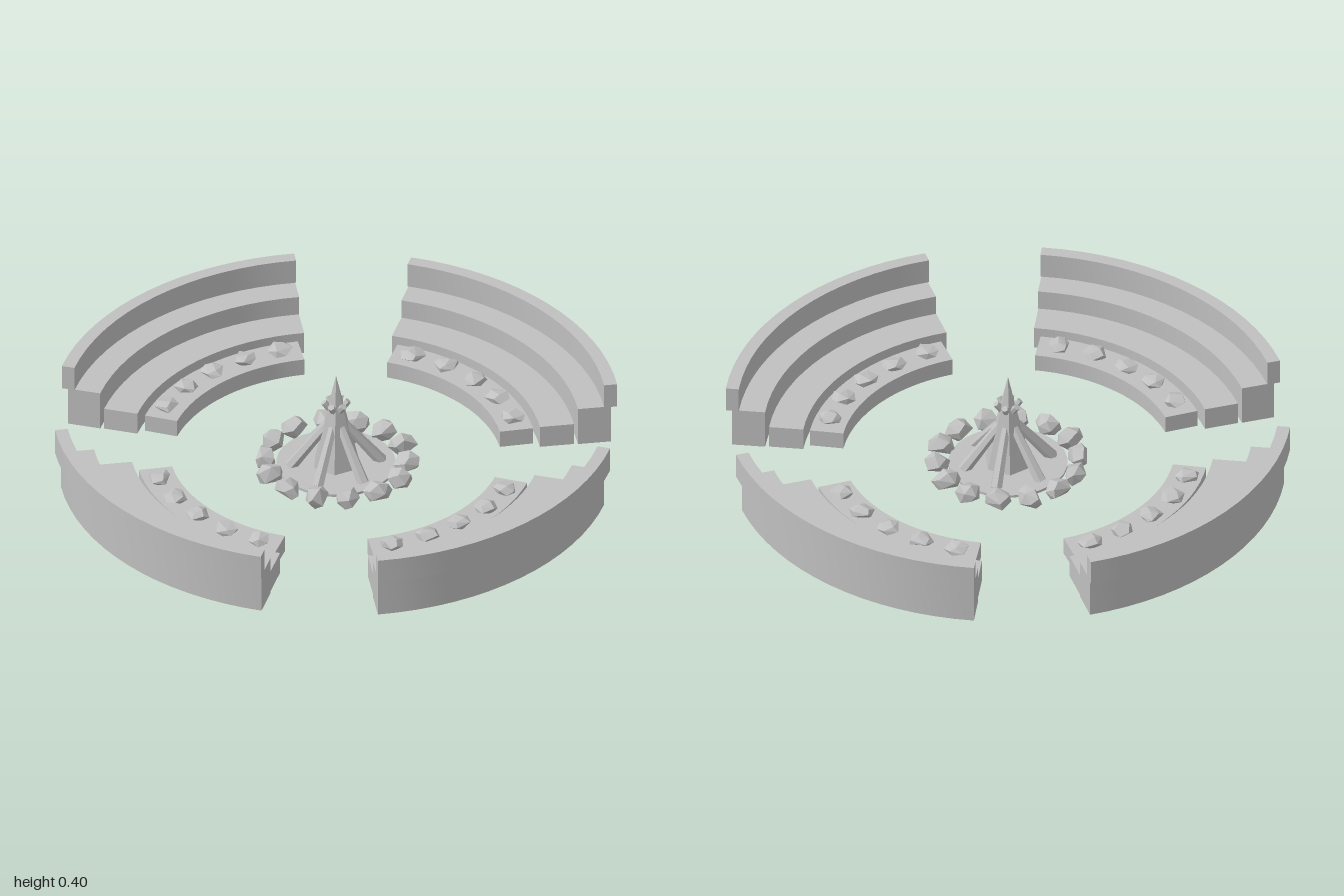
import * as THREE from 'three';
import { toCreasedNormals } from 'three/addons/utils/BufferGeometryUtils.js';
import { ConvexGeometry } from 'three/addons/geometries/ConvexGeometry.js';

const RAD = Math.PI / 180;

export function createModel() {
  const model = new THREE.Group();
  model.name = 'firePitWithBenches';
  const stone = new THREE.MeshStandardMaterial({ color: 0xc0c0c0 });
  stone.name = 'stone grey';

  // Small seeded random function
  let seed = 7;
  const rand = () => {
    seed = (seed * 16807) % 2147483647;
    return seed / 2147483647;
  };

  const add = (parent, name, geometry) => {
    const mesh = new THREE.Mesh(geometry, stone);
    mesh.name = name;
    parent.add(mesh);
    return mesh;
  };

  // Curved block: a ring sector between two radii, inset from the axes by an angle
  const arcBlock = (inner, outer, bottom, top, inset) => {
    const a = inset * RAD, b = (90 - inset) * RAD, n = 16;
    const points = [];
    for (let i = 0; i <= n; i++) {
      const t = a + (b - a) * i / n;
      points.push(new THREE.Vector2(outer * Math.cos(t), outer * Math.sin(t)));
    }
    for (let i = n; i >= 0; i--) {
      const t = a + (b - a) * i / n;
      points.push(new THREE.Vector2(inner * Math.cos(t), inner * Math.sin(t)));
    }
    const geometry = new THREE.ExtrudeGeometry(new THREE.Shape(points), { depth: top - bottom, bevelEnabled: false });
    geometry.rotateX(-Math.PI / 2).translate(0, bottom, 0);
    return toCreasedNormals(geometry, 0.4);
  };

  // Angular rock: hull of jittered points on an ellipsoid
  const rock = (rx, ry, rz) => {
    const points = [];
    const n = 13;
    for (let i = 0; i < n; i++) {
      const h = 1 - 2 * (i + 0.5) / n;
      const r = Math.sqrt(1 - h * h), t = i * 2.4 + rand() * 0.7;
      const s = 0.9 + rand() * 0.2;
      points.push(new THREE.Vector3(r * Math.cos(t) * rx * s, h * ry * 1.05, r * Math.sin(t) * rz * s));
    }
    return new ConvexGeometry(points);
  };

  // Four curved benches, each with a back rail, a footrest and a kerb of rocks
  for (let q = 0; q < 4; q++) {
    const bench = new THREE.Group();
    bench.name = 'bench' + (q + 1);
    bench.rotation.y = q * Math.PI / 2;
    add(bench, 'backRail', arcBlock(0.975, 1.022, 0.17, 0.265, 11.9));
    add(bench, 'seat', arcBlock(0.88, 1.0, 0.02, 0.17, 12.1));
    add(bench, 'footrest', arcBlock(0.742, 0.866, 0.02, 0.105, 12.3));
    add(bench, 'kerb', arcBlock(0.6, 0.722, 0.02, 0.085, 14.4));
    for (let i = 0; i < 5; i++) {
      const t = (21 + 12 * i) * RAD;
      const m = add(bench, 'kerbRock', rock(0.046, 0.02, 0.046));
      m.position.set(0.667 * Math.cos(t), 0.097, -0.667 * Math.sin(t));
      m.rotation.y = rand() * 6;
    }
    model.add(bench);
  }

  const fire = new THREE.Group();
  fire.name = 'firePit';
  model.add(fire);

  // Ash bed
  add(fire, 'ashBed', toCreasedNormals(new THREE.CylinderGeometry(0.215, 0.215, 0.01, 28), 0.5)).position.y = 0.025;

  // Ring of rocks around the fire
  for (let i = 0; i < 14; i++) {
    const t = i * Math.PI * 2 / 14;
    const m = add(fire, 'pitRock', rock(0.043, 0.04, 0.055));
    m.position.set(0.257 * Math.cos(t), 0.042, 0.257 * Math.sin(t));
    m.rotation.y = -t + Math.PI / 2 * Math.round(rand()) + (rand() - 0.5) * 0.6;
  }

  // Leaning logs that cross above the middle
  for (let i = 0; i < 6; i++) {
    const t = (-10 + 60 * i) * RAD;
    const at = (r, y) => new THREE.Vector3(r * Math.cos(t), y, r * Math.sin(t));
    const low = at(0.165, 0.024), high = at(-0.045, 0.29);
    const geometry = new THREE.CylinderGeometry(0.012, 0.023, low.distanceTo(high), 6).toNonIndexed();
    geometry.computeVertexNormals();
    const m = add(fire, 'log', geometry);
    m.position.copy(low).add(high).multiplyScalar(0.5);
    m.quaternion.setFromUnitVectors(new THREE.Vector3(0, 1, 0), high.clone().sub(low).normalize());
  }

  // Central flame
  const flame = new THREE.ConeGeometry(0.09, 0.375, 6).toNonIndexed();
  flame.computeVertexNormals();
  add(fire, 'flame', flame).position.y = 0.2125;

  return model;
}
